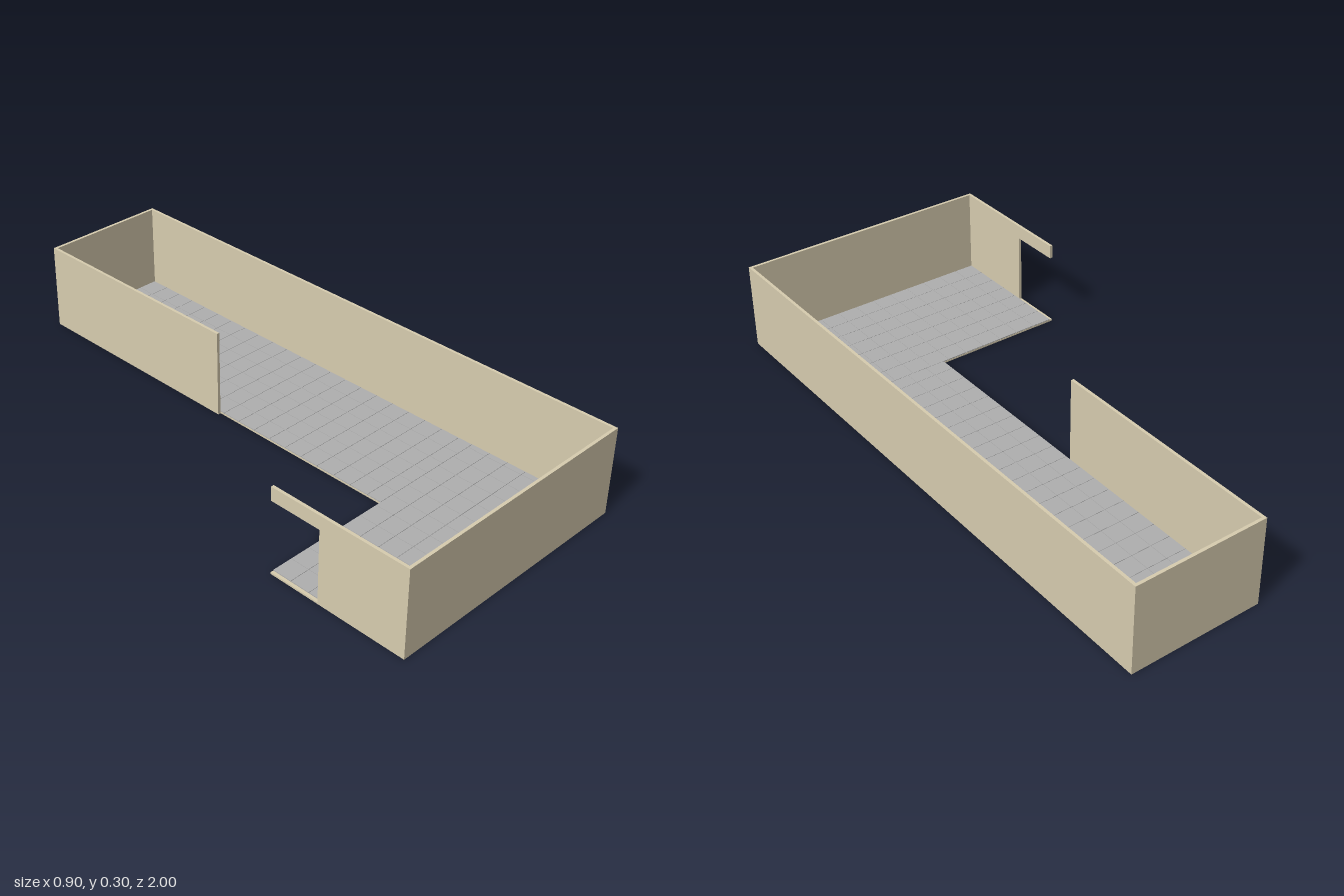
import * as THREE from 'three';
import { mergeGeometries } from 'three/addons/utils/BufferGeometryUtils.js';

const H = 0.3;      // wall height
const SLAB = 0.006; // slab thickness
const TILE = 0.003; // tile thickness

const wallMat = new THREE.MeshStandardMaterial({ color: 0xd8cdb0 });
const tileMat = new THREE.MeshStandardMaterial({ color: 0xb0b0b0 });

// Box geometry from its minimum and maximum corners
function boxBetween(x0, x1, y0, y1, z0, z1) {
  return new THREE.BoxGeometry(x1 - x0, y1 - y0, z1 - z0)
    .translate((x0 + x1) / 2, (y0 + y1) / 2, (z0 + z1) / 2);
}

// Floor tiles on a regular pitch, cut off at the far edges of a rectangle
function tileField(x0, x1, z0, z1) {
  const px = 0.0715, pz = 0.0689, gap = 0.0006, tiles = [];
  for (let x = x0; x < x1 - 0.005; x += px) {
    for (let z = z0; z < z1 - 0.005; z += pz) {
      tiles.push(boxBetween(x + gap, Math.min(x + px, x1) - gap,
        SLAB, SLAB + TILE, z + gap, Math.min(z + pz, z1) - gap));
    }
  }
  return tiles;
}

export function createModel() {
  const room = new THREE.Group();
  room.name = 'lShapedRoom';

  const add = (name, geometry, material = wallMat) => {
    const mesh = new THREE.Mesh(geometry, material);
    mesh.name = name;
    room.add(mesh);
  };

  // L-shaped floor slab
  const outline = new THREE.Shape([
    [0.01, -0.99], [0.44, -0.99], [0.44, 0.99],
    [-0.44, 0.99], [-0.44, 0.51], [0.01, 0.51],
  ].map(([x, z]) => new THREE.Vector2(x, z)));
  add('floorSlab', new THREE.ExtrudeGeometry(outline, { depth: SLAB, bevelEnabled: false })
    .rotateX(Math.PI / 2).translate(0, SLAB, 0));

  // Tiles over both arms of the L
  add('floorTiles', mergeGeometries([
    ...tileField(0.01, 0.44, -0.99, 0.51),
    ...tileField(-0.44, 0.44, 0.51, 0.99),
  ]), tileMat);

  // Walls: [name, x0, x1, y0, y1, z0, z1]
  const walls = [
    ['frontWall', -0.45, 0.45, 0, H, 0.99, 1],
    ['leftWall', 0.44, 0.45, 0, H, -0.99, 0.99],
    ['backWall', 0, 0.45, 0, H, -1, -0.99],
    ['innerWall', 0, 0.01, 0, H, -0.99, -0.18],
    ['rightWall', -0.45, -0.44, 0, H, 0.69, 0.99],
    ['doorLintel', -0.45, -0.44, 0.253, H, 0.51, 0.69],
    ['doorThreshold', -0.45, -0.44, 0, SLAB, 0.51, 0.69],
  ];
  for (const [name, ...bounds] of walls) add(name, boxBetween(...bounds));

  return room;
}
